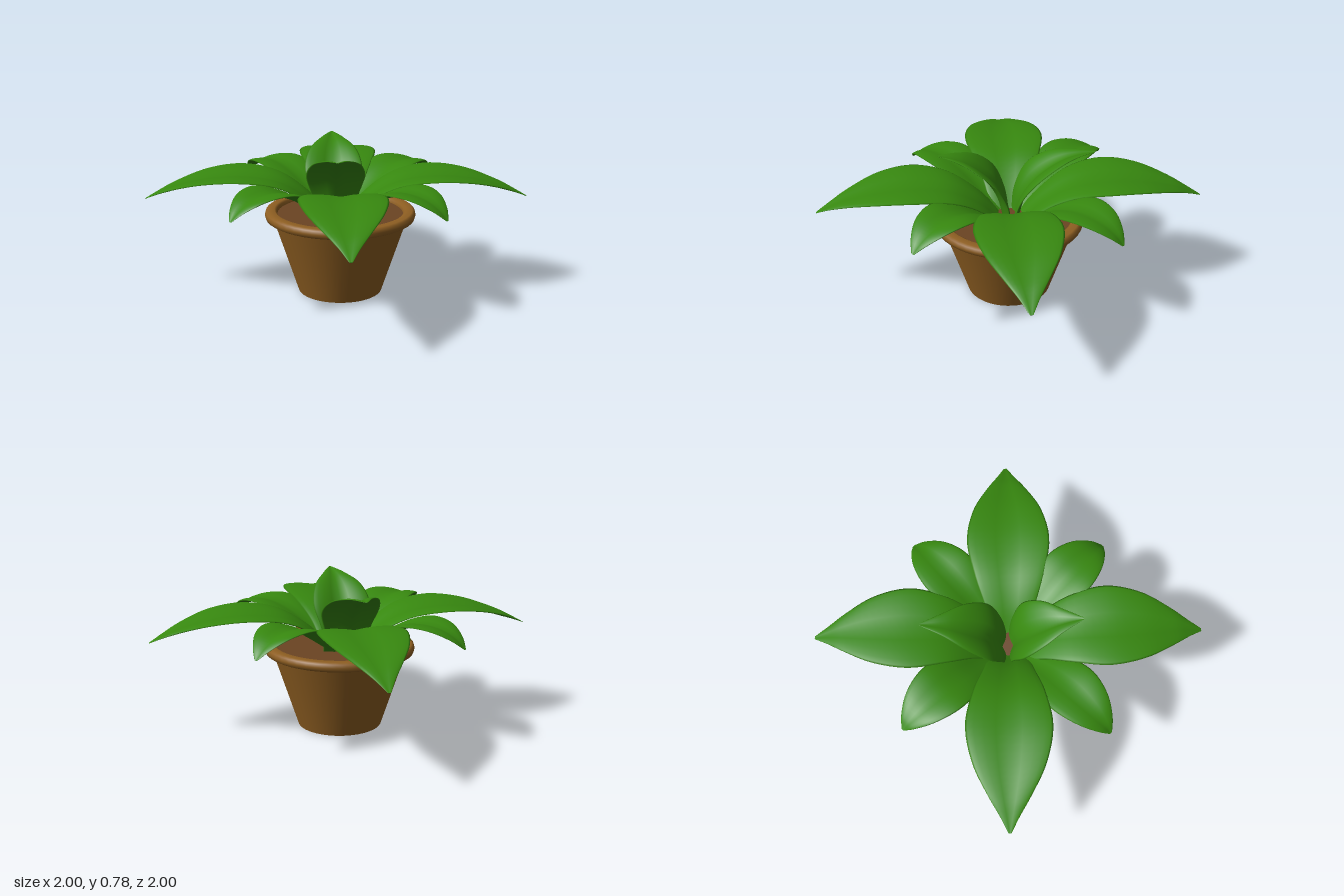
import * as THREE from 'three';

const leafMat = new THREE.MeshStandardMaterial({ color: 0x37880f });
const potMat = new THREE.MeshStandardMaterial({ color: 0x8f5f22 });
const soilMat = new THREE.MeshStandardMaterial({ color: 0x6b4423 });

// Each spine point is [distance from centre, height, half width]
const LARGE = [[0.06, 0.4, 0.1], [0.18, 0.51, 0.13], [0.32, 0.585, 0.18], [0.5, 0.612, 0.215],
  [0.68, 0.6, 0.18], [0.83, 0.565, 0.105], [0.93, 0.53, 0.045], [1, 0.5, 0.008]];
const MEDIUM = [[0.06, 0.4, 0.06], [0.2, 0.49, 0.09], [0.34, 0.57, 0.13], [0.46, 0.605, 0.142],
  [0.58, 0.6, 0.11], [0.67, 0.565, 0.055], [0.72, 0.525, 0.008]];
const SMALL = [[0.03, 0.4, 0.09], [0.06, 0.52, 0.125], [0.11, 0.61, 0.152], [0.19, 0.69, 0.125],
  [0.28, 0.745, 0.06], [0.37, 0.775, 0.006]];

// Closed leaf blade: lens-shaped sections with a grooved midrib swept along the spine
function leafGeometry(spine, cup, thickness) {
  const curve = new THREE.CatmullRomCurve3(spine.map(p => new THREE.Vector3(...p)));
  const rows = 32, half = 10, ring = half * 2;
  const pos = [], idx = [];
  for (let i = 0; i <= rows; i++) {
    const t = i / rows;
    const p = curve.getPoint(t);
    const d = curve.getTangent(t);
    const len = Math.hypot(d.x, d.y);
    const nx = -d.y / len, ny = d.x / len;
    const w = Math.max(p.z, 0.004);
    for (let j = 0; j < ring; j++) {
      const a = (j / ring) * Math.PI * 2;
      const u = Math.cos(a), s = Math.abs(u);
      const fold = cup * (w / 0.2) * s * (2 - s);
      const h = fold + Math.sin(a) * thickness * Math.min(1, w / 0.08);
      pos.push(p.x + nx * h, p.y + ny * h, u * w);
    }
  }
  for (let i = 0; i < rows; i++) {
    for (let j = 0; j < ring; j++) {
      const k = (j + 1) % ring;
      const a = i * ring + j, b = i * ring + k;
      idx.push(a, a + ring, b, b, a + ring, b + ring);
    }
  }
  // End caps
  const last = rows * ring;
  for (let j = 1; j < ring - 1; j++) {
    idx.push(0, j, j + 1, last, last + j + 1, last + j);
  }
  const g = new THREE.BufferGeometry();
  g.setAttribute('position', new THREE.Float32BufferAttribute(pos, 3));
  g.setIndex(idx);
  g.computeVertexNormals();
  return g;
}

function addLeaf(parent, name, geometry, tipX, tipZ, x = 0, z = 0) {
  const leaf = new THREE.Mesh(geometry, leafMat);
  leaf.name = name;
  leaf.rotation.y = Math.atan2(-(tipZ - z), tipX - x);
  leaf.position.set(x, 0, z);
  parent.add(leaf);
  return leaf;
}

export function createModel() {
  const model = new THREE.Group();
  model.name = 'pottedPlant';

  // Pot
  const pot = new THREE.Group();
  pot.name = 'pot';
  pot.position.set(0.017, 0, 0.012);
  model.add(pot);

  const body = new THREE.Mesh(new THREE.CylinderGeometry(0.355, 0.222, 0.41, 48), potMat);
  body.name = 'potBody';
  body.position.y = 0.205;
  pot.add(body);

  const rimProfile = [[0.33, 0.395], [0.378, 0.395], [0.39, 0.402], [0.395, 0.42], [0.39, 0.437],
    [0.378, 0.445], [0.345, 0.445], [0.334, 0.437], [0.33, 0.42], [0.33, 0.395]];
  const rim = new THREE.Mesh(
    new THREE.LatheGeometry(rimProfile.map(p => new THREE.Vector2(...p)), 48), potMat);
  rim.name = 'potRim';
  pot.add(rim);

  const soil = new THREE.Mesh(new THREE.CircleGeometry(0.335, 48), soilMat);
  soil.name = 'soil';
  soil.rotation.x = -Math.PI / 2;
  soil.position.y = 0.42;
  pot.add(soil);

  // Leaves
  const foliage = new THREE.Group();
  foliage.name = 'foliage';
  model.add(foliage);

  const large = leafGeometry(LARGE, 0.02, 0.01);
  for (const [x, z, ox, oz] of [[1, 0, 0, 0.015], [-1, -0.01, 0, 0], [0.03, 1, 0, 0], [0.02, -1, 0.015, 0]]) {
    addLeaf(foliage, 'largeLeaf', large, x, z, ox, oz);
  }

  const medium = leafGeometry(MEDIUM, 0.03, 0.009);
  for (const [x, z] of [[0.52, -0.49], [0.51, 0.51], [-0.52, 0.5], [-0.48, -0.53]]) {
    addLeaf(foliage, 'mediumLeaf', medium, x, z);
  }

  const small = leafGeometry(SMALL, 0.055, 0.009);
  addLeaf(foliage, 'frontInnerLeaf', small, 0, 1, -0.01, 0);
  // The back inner leaf reaches further out and bends flatter
  const back = SMALL.map(([r, y, w]) => [r * 1.18, y - 0.12 * r * r, w]);
  addLeaf(foliage, 'backInnerLeaf', leafGeometry(back, 0.055, 0.009), -0.02, -1, -0.015, 0);

  return model;
}
